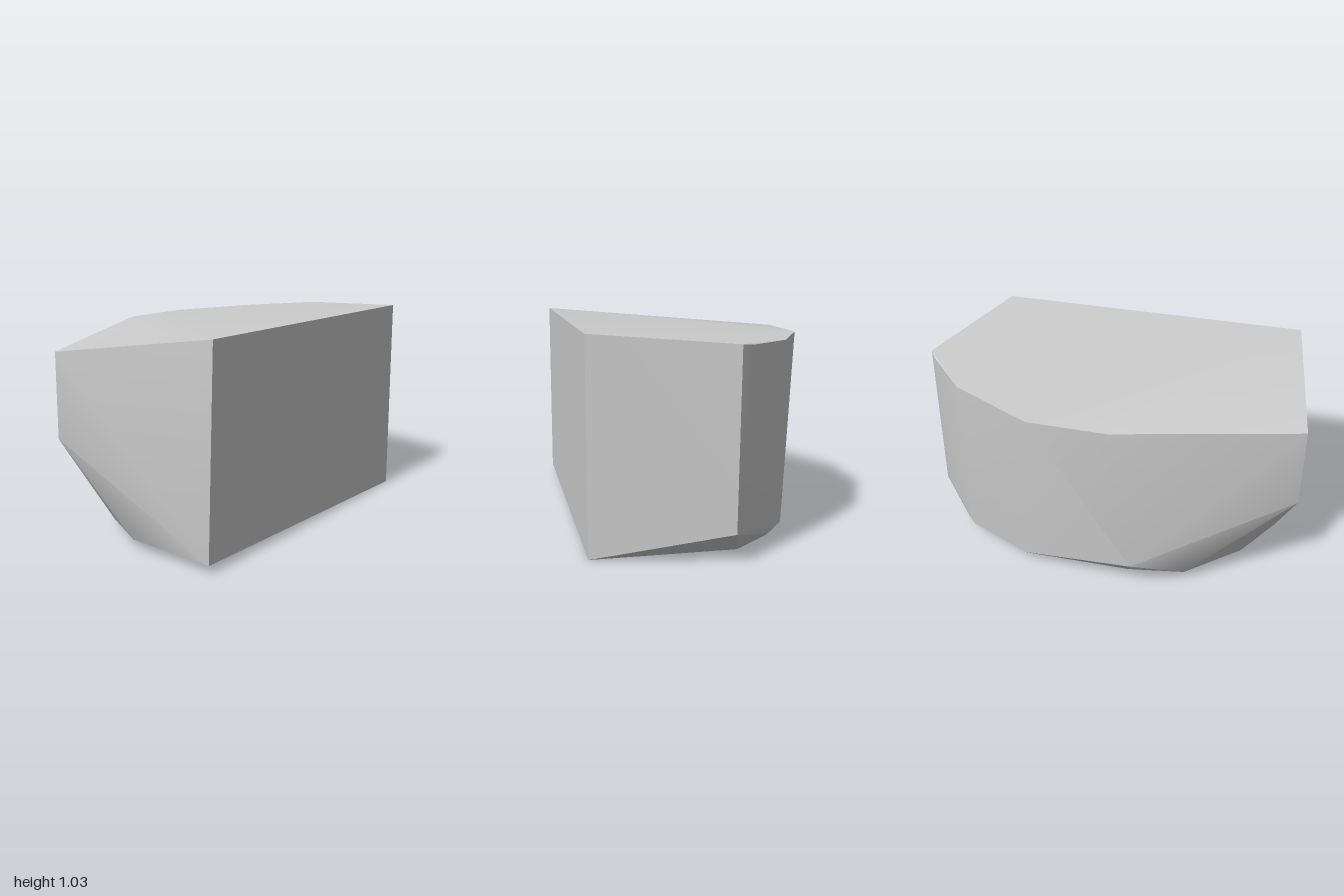
import * as THREE from 'three';
import { ConvexGeometry } from 'three/addons/geometries/ConvexGeometry.js';
import { toCreasedNormals } from 'three/addons/utils/BufferGeometryUtils.js';

export function createModel() {
  const group = new THREE.Group();
  group.name = 'cutBlock';
  const stone = new THREE.MeshStandardMaterial({ color: 0xcccccc });
  stone.name = 'light grey stone';

  // Flat front face
  const front = [[-0.88, 1.03, 0.575], [0.775, 1.03, 0.575], [0.775, 0, 0.575], [-0.915, 0.04, 0.575]];
  // Upper rim, from the left end round the curved back to the right end
  const upperRim = [
    [0.985, 0.99, -0.08], [0.94, 0.982, -0.14], [0.72, 0.976, -0.37], [0.29, 0.97, -0.575],
    [-0.11, 0.97, -0.575], [-0.5, 0.957, -0.41], [-1, 0.915, -0.25],
  ];
  // Lower rim with its chipped corners
  const lowerRim = [
    [1, 0.145, -0.06], [0.84, 0.02, -0.11], [0.785, 0.06, -0.27], [0.71, 0.095, -0.365],
    [0.375, 0.06, -0.48], [-0.2, 0.1, -0.51], [-0.22, 0.17, -0.565], [-0.475, 0.055, -0.41],
    [-0.74, 0.05, -0.155], [-0.885, 0.045, 0.105], [-1, 0.5, -0.25],
  ];

  // The block is the convex skin over these corners, smooth across the curved back
  const corners = [...front, ...upperRim, ...lowerRim].map((p) => new THREE.Vector3(...p));
  const block = new THREE.Mesh(toCreasedNormals(new ConvexGeometry(corners), 0.55), stone);
  block.name = 'block';
  group.add(block);
  return group;
}
